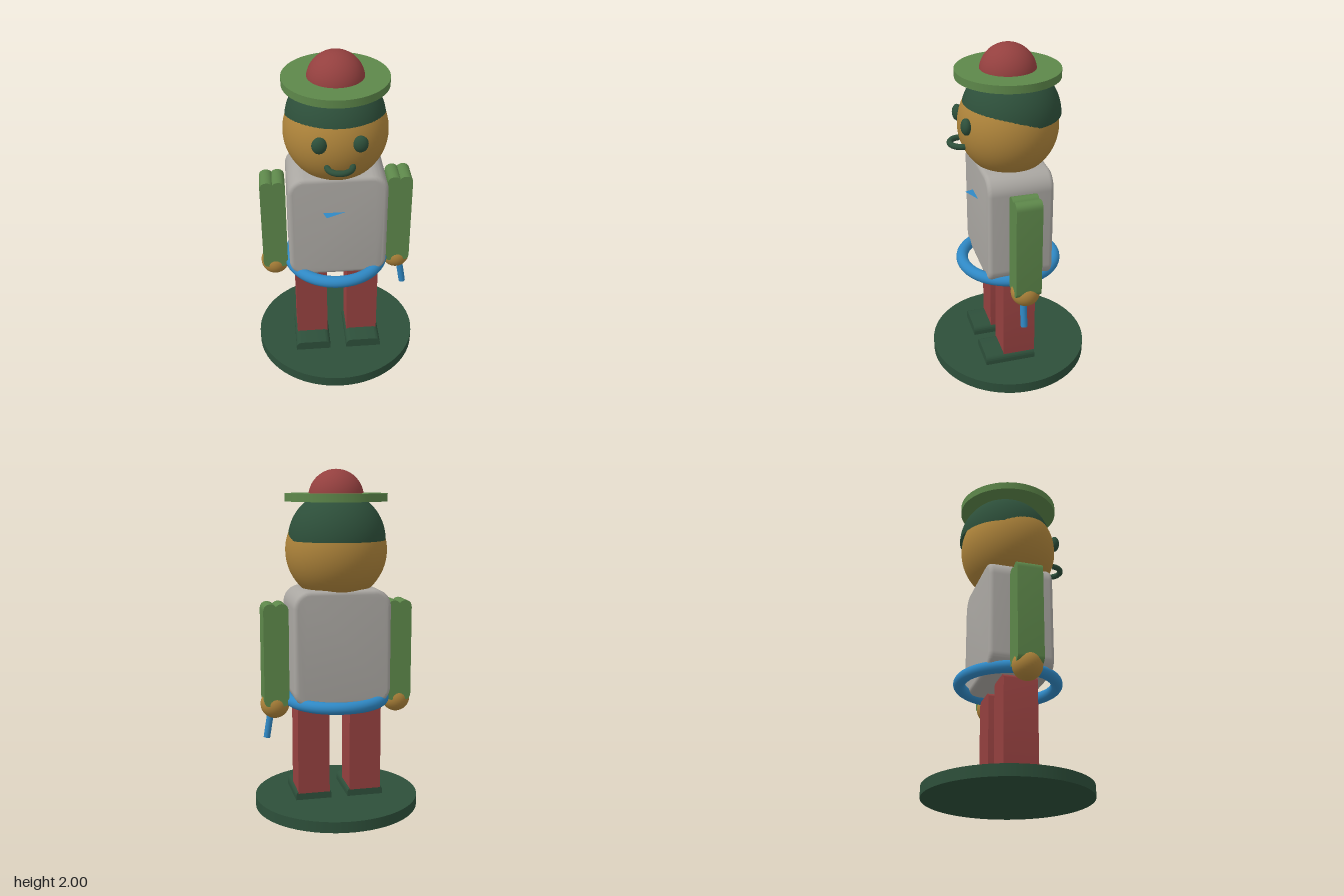
import * as THREE from 'three';
import { toCreasedNormals } from 'three/addons/utils/BufferGeometryUtils.js';

const material = (name, color, side = THREE.FrontSide) => {
  const m = new THREE.MeshStandardMaterial({ color, side });
  m.name = name;
  return m;
};

export function createModel() {
  const model = new THREE.Group();
  model.name = 'toyFigure';

  const red = material('red', 0x94403f);
  const green = material('leaf green', 0x5d874a);
  const dark = material('dark green', 0x2d4f3a, THREE.DoubleSide);
  const gold = material('ochre', 0xad833a);
  const grey = material('warm grey', 0xaaa7a2);
  const blue = material('blue', 0x2f88c4, THREE.DoubleSide);

  const add = (name, geometry, mat, x = 0, y = 0, z = 0) => {
    const mesh = new THREE.Mesh(geometry, mat);
    mesh.name = name;
    mesh.position.set(x, y, z);
    model.add(mesh);
    return mesh;
  };

  // Rectangle centred on x, from y = 0 to h, with rounded top and bottom corners
  const roundedShape = (w, h, top, bottom) => {
    const s = new THREE.Shape(), a = w / 2;
    s.moveTo(-a + bottom, 0);
    s.lineTo(a - bottom, 0);
    if (bottom) s.absarc(a - bottom, bottom, bottom, -Math.PI / 2, 0);
    s.lineTo(a, h - top);
    s.absarc(a - top, h - top, top, 0, Math.PI / 2);
    s.lineTo(-a + top, h);
    s.absarc(-a + top, h - top, top, Math.PI / 2, Math.PI);
    s.lineTo(-a, bottom);
    if (bottom) s.absarc(-a + bottom, bottom, bottom, Math.PI, Math.PI * 1.5);
    return s;
  };

  // Extrusion centred on z, with an optional rounded rim kept inside the depth
  const extrude = (shape, depth, bevel = 0) => {
    const g = new THREE.ExtrudeGeometry(shape, {
      depth: depth - 2 * bevel, curveSegments: 10, bevelEnabled: bevel > 0,
      bevelThickness: bevel, bevelSize: bevel, bevelOffset: -bevel, bevelSegments: 4,
    });
    g.translate(0, 0, -depth / 2 + bevel);
    return toCreasedNormals(g, 0.6);
  };

  // Stand
  add('stand', new THREE.CylinderGeometry(0.49, 0.49, 0.065, 64), dark, 0, 0.0325).scale.z = 0.97;

  // Arm profile with a two-lobed top
  const arm = new THREE.Shape();
  arm.moveTo(-0.04, 0);
  arm.lineTo(0.04, 0);
  arm.quadraticCurveTo(0.073, 0, 0.073, 0.04);
  arm.lineTo(0.073, 0.56);
  arm.bezierCurveTo(0.073, 0.61, 0.015, 0.61, 0, 0.585);
  arm.bezierCurveTo(-0.015, 0.61, -0.073, 0.61, -0.073, 0.56);
  arm.lineTo(-0.073, 0.04);
  arm.quadraticCurveTo(-0.073, 0, -0.04, 0);

  const shoeGeometry = extrude(roundedShape(0.215, 0.06, 0.035, 0), 0.305);
  const legGeometry = extrude(roundedShape(0.19, 0.53, 0.03, 0), 0.195);
  const armGeometry = extrude(arm, 0.15);
  const handGeometry = new THREE.SphereGeometry(0.085, 32, 20);
  const eyeGeometry = new THREE.SphereGeometry(1, 24, 16).scale(0.042, 0.048, 0.03);

  // Paired parts
  for (const [side, s] of [['left', 1], ['right', -1]]) {
    add(side + 'Shoe', shoeGeometry, dark, s * 0.157, 0.062, 0.057);
    add(side + 'Leg', legGeometry, red, s * 0.156, 0.105, 0);
    add(side + 'Arm', armGeometry, green, s * 0.368, 0.642, 0);
    add(side + 'Hand', handGeometry, gold, s * 0.37, 0.642, 0);
    add(side + 'Eye', eyeGeometry, dark, s * 0.11, 1.587, 0.265);
  }

  // Torso and belt
  add('torso', extrude(roundedShape(0.57, 0.67, 0.1, 0.09), 0.38, 0.025), grey, 0, 0.655);
  add('belt', new THREE.TorusGeometry(0.28, 0.035, 16, 64), blue, 0, 0.665).rotation.x = Math.PI / 2;

  // Flat sliver on the chest
  const sliver = new THREE.Shape([
    new THREE.Vector2(-0.09, 0.185), new THREE.Vector2(-0.07, 0.24), new THREE.Vector2(0.05, 0.185),
  ]);
  add('chestSliver', new THREE.ShapeGeometry(sliver), blue, 0, 1.1, 0).rotation.x = Math.PI / 2;

  // Short stick in the left hand
  const stick = add('stick', new THREE.CylinderGeometry(0.02, 0.02, 0.18, 16), blue, 0.404, 0.522, 0.02);
  stick.rotation.z = 0.16;

  // Head, hair and mouth
  add('head', new THREE.SphereGeometry(0.295, 64, 40), gold, 0, 1.54).scale.z = 0.97;
  add('hair', new THREE.SphereGeometry(0.2815, 64, 24, 0, Math.PI * 2, 0, Math.PI / 2), dark, 0, 1.6, -0.017);
  add('mouth', new THREE.TorusGeometry(0.069, 0.017, 12, 32, Math.PI), dark, 0, 1.452, 0.267)
    .rotation.x = Math.PI / 2;

  // Hat
  add('hatBrim', new THREE.CylinderGeometry(0.295, 0.295, 0.045, 64), green, 0, 1.841);
  add('hatCrown', new THREE.SphereGeometry(0.16, 40, 24), red, 0, 1.84);

  return model;
}
